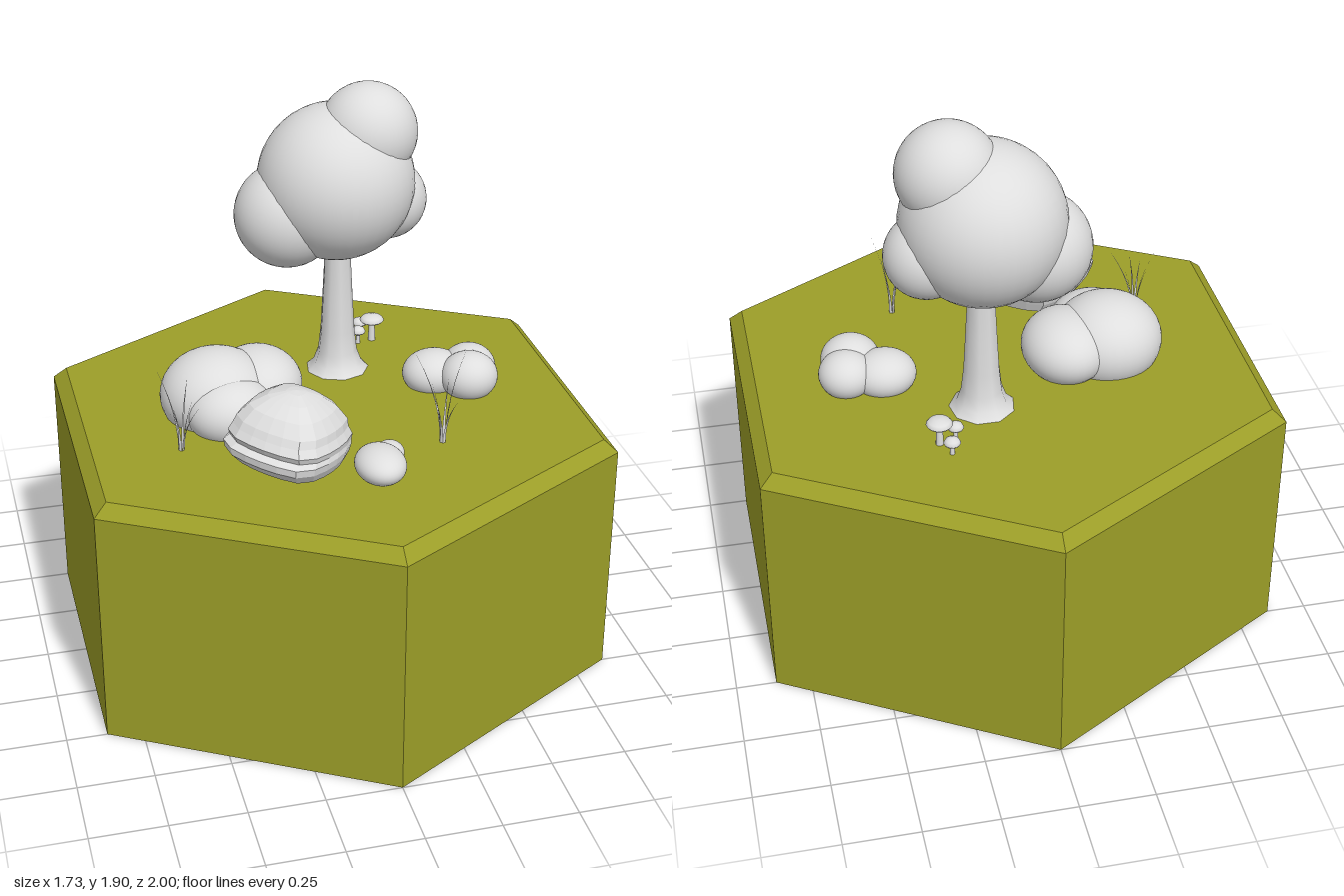
import * as THREE from 'three';

const GROUND = 0.866;

export function createModel() {
  const model = new THREE.Group();
  const olive = new THREE.MeshStandardMaterial({ color: 0x9c9e28 });
  olive.name = 'olive ground';
  olive.flatShading = true;
  const grey = new THREE.MeshStandardMaterial({ color: 0xdedede });
  grey.name = 'pale grey';
  const greyFlat = grey.clone();
  greyFlat.name = 'pale grey faceted';
  greyFlat.flatShading = true;
  const greyLeaf = grey.clone();
  greyLeaf.name = 'pale grey leaf';
  greyLeaf.side = THREE.DoubleSide;

  function add(parent, name, geometry, material, x = 0, y = 0, z = 0) {
    const mesh = new THREE.Mesh(geometry, material);
    mesh.name = name;
    mesh.position.set(x, y, z);
    parent.add(mesh);
    return mesh;
  }
  function group(name, x = 0, y = 0, z = 0) {
    const g = new THREE.Group();
    g.name = name;
    g.position.set(x, y, z);
    model.add(g);
    return g;
  }
  const lathe = (points, sides) =>
    new THREE.LatheGeometry(points.map(([r, y]) => new THREE.Vector2(r, y)), sides);
  // Each blob is [x, y, z, rx, ry, rz]
  function blobs(parent, name, list) {
    list.forEach(([x, y, z, rx, ry = rx, rz = rx]) => {
      add(parent, name, new THREE.SphereGeometry(1, 36, 24), grey, x, y, z).scale.set(rx, ry, rz);
    });
  }

  // Hexagonal ground block with a bevelled top edge
  const base = group('groundBlock');
  add(base, 'blockBody', new THREE.CylinderGeometry(1, 1, 0.825, 6), olive, 0, 0.4125, 0);
  add(base, 'blockBevel', new THREE.CylinderGeometry(0.95, 1, 0.041, 6), olive, 0, 0.8455, 0);

  // Tree: flared trunk and a crown of four spheres
  const tree = group('tree');
  add(tree, 'trunk', lathe([
    [0.11, 0], [0.085, 0.025], [0.069, 0.07], [0.06, 0.15], [0.053, 0.28], [0.047, 0.4], [0.046, 0.55],
  ], 9), grey, 0.105, GROUND, -0.255);
  blobs(tree, 'foliage', [
    [0.1, 1.565, -0.26, 0.268],
    [0.205, 1.738, -0.24, 0.167],
    [-0.07, 1.46, -0.26, 0.18],
    [0.282, 1.478, -0.277, 0.138],
  ]);

  // Bushes
  blobs(group('leftBush'), 'bushLobe', [
    [-0.37, 0.93, -0.04, 0.19, 0.157, 0.185],
    [-0.22, 0.94, -0.07, 0.15, 0.12, 0.17],
    [-0.345, 0.92, 0.07, 0.15, 0.115, 0.14],
  ]);
  blobs(group('rightBush'), 'bushLobe', [
    [0.5, 0.92, 0.025, 0.1, 0.085, 0.095],
    [0.525, 0.915, -0.055, 0.093, 0.08, 0.095],
    [0.4, 0.905, -0.06, 0.11, 0.08, 0.1],
  ]);

  // Rounded pebbles
  blobs(group('pebbles'), 'pebble', [
    [0.04, 0.924, 0.55, 0.082, 0.057, 0.103],
    [0.1, 0.905, 0.45, 0.046, 0.036, 0.052],
  ]);

  // Faceted boulder: rounded-diamond rings, tilted and shifted layer by layer
  const rings = [ // height, radius, x shift, z shift
    [0, 0.12, 0, 0], [0.03, 0.18, 0, 0], [0.065, 0.205, -0.01, 0.005], [0.09, 0.211, -0.008, 0.003],
    [0.105, 0.2, 0.005, -0.003], [0.125, 0.205, 0.002, 0], [0.15, 0.19, 0.004, -0.003],
    [0.175, 0.182, 0.01, -0.006], [0.215, 0.145, 0.014, -0.008], [0.247, 0.09, 0.02, -0.01],
    [0.262, 0.035, 0.025, -0.01],
  ];
  const sides = 20;
  const verts = [], faces = [];
  rings.forEach(([h, r, dx, dz], i) => {
    for (let j = 0; j < sides; j++) {
      const a = (j / sides) * Math.PI * 2 + 0.1;
      const c = Math.cos(a), s = Math.sin(a);
      const d = r * Math.pow(Math.abs(c) ** 1.38 + Math.abs(s) ** 1.38, -1 / 1.38);
      const x = c * d + dx, z = s * d + dz;
      verts.push(x, Math.max(-0.01, h - 0.12 * x), z);
      if (i === rings.length - 1) continue;
      const k = i * sides + j, n = i * sides + (j + 1) % sides;
      faces.push(k, k + sides, n, n, k + sides, n + sides);
    }
  });
  const last = (rings.length - 1) * sides;
  verts.push(0.025, 0.263, -0.01);
  for (let j = 0; j < sides; j++) faces.push(last + j, last + sides, last + (j + 1) % sides);
  const rock = new THREE.BufferGeometry();
  rock.setAttribute('position', new THREE.Float32BufferAttribute(verts, 3));
  rock.setIndex(faces);
  rock.computeVertexNormals();
  add(model, 'boulder', rock, greyFlat, -0.215, GROUND, 0.388);

  // Mushrooms: [x, z, height, cap radius]
  [[0.28, -0.435, 0.098, 0.044], [0.25, -0.495, 0.062, 0.028], [0.225, -0.42, 0.065, 0.027]]
    .forEach(([x, z, h, r]) => {
      const m = group('mushroom', x, GROUND, z);
      add(m, 'stem', new THREE.CylinderGeometry(r * 0.22, r * 0.3, h - 0.01, 10), grey, 0, (h - 0.01) / 2, 0);
      add(m, 'cap', lathe([
        [0, h - 0.02], [r * 0.9, h - 0.024], [r, h - 0.018], [r * 0.8, h - 0.007], [r * 0.4, h - 0.001], [0, h],
      ], 16), grey);
    });

  // Grass tufts: tapered blades that bend outwards
  function blade(height, reach, width) {
    const g = new THREE.PlaneGeometry(1, 1, 1, 6);
    const p = g.attributes.position;
    for (let i = 0; i < p.count; i++) {
      const t = p.getY(i) + 0.5;
      p.setXYZ(i, p.getX(i) * width * (1 - t * 0.95), height * t, 0.008 + reach * t * t);
    }
    g.computeVertexNormals();
    return g;
  }
  // Each blade is [heading, height, reach]
  function tuft(x, z, blades) {
    const g = group('grassTuft', x, GROUND, z);
    blades.forEach(([heading, height, reach]) => {
      add(g, 'grassBlade', blade(height, reach, 0.012), greyLeaf).rotation.y = heading;
    });
  }
  tuft(-0.535, 0.205, [[-2.2, 0.27, 0.07], [0.8, 0.2, 0.09], [2.4, 0.24, 0.04],
    [-0.6, 0.17, 0.04], [1.6, 0.18, 0.035], [-1.6, 0.15, 0.03]]);
  tuft(0.305, 0.36, [[-2.4, 0.29, 0.1], [1.5, 0.325, 0.06], [2.6, 0.2, 0.05],
    [0.3, 0.18, 0.07], [-0.8, 0.16, 0.04], [-1.5, 0.22, 0.035]]);

  return model;
}
